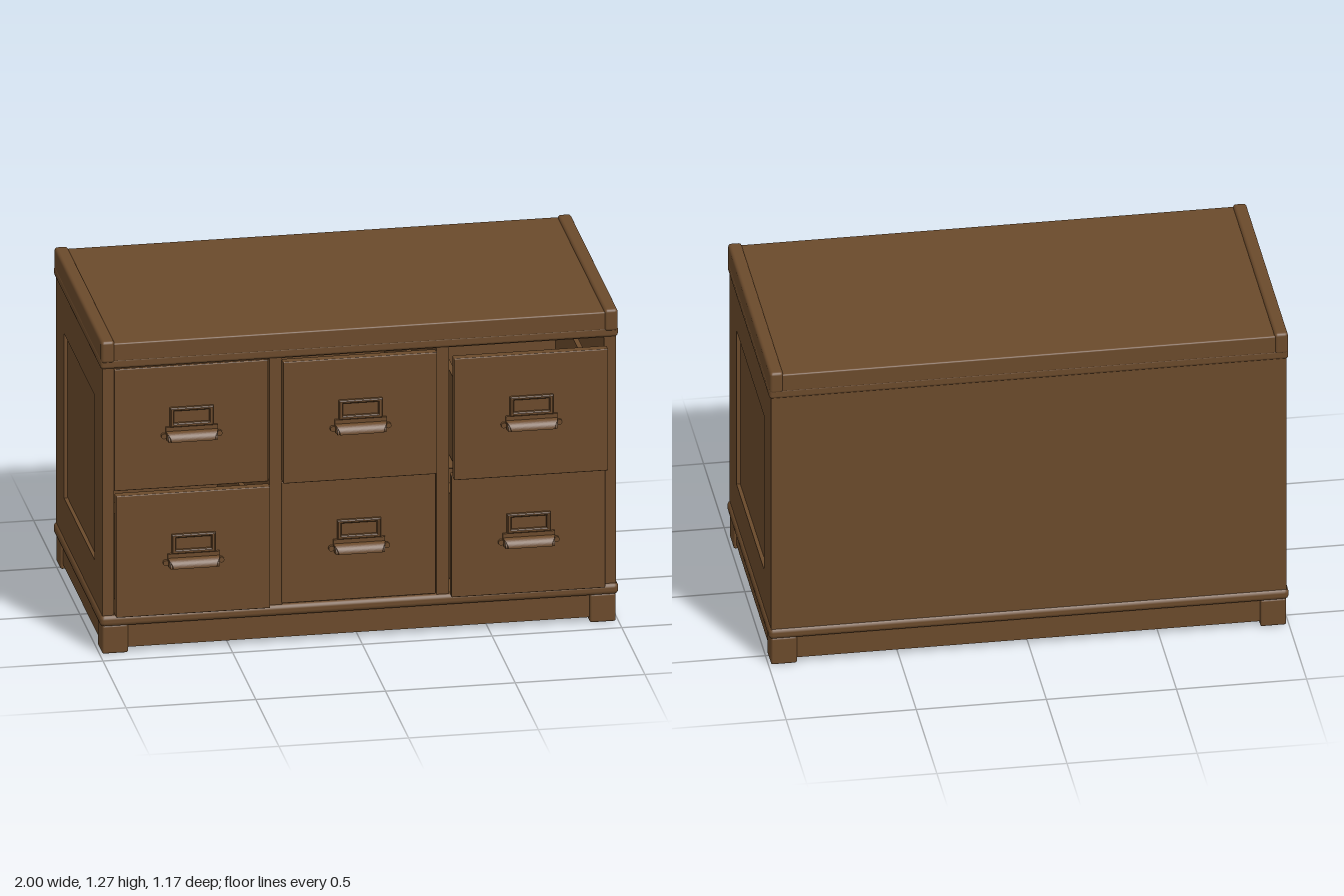
import * as THREE from 'three';
import { RoundedBoxGeometry } from 'three/addons/geometries/RoundedBoxGeometry.js';

const wood = new THREE.MeshStandardMaterial({ color: 0x6b4a2b });
wood.name = 'brown wood';

// Box given by its limits; r rounds the edges
function box(parent, name, x0, x1, y0, y1, z0, z1, r = 0) {
  const w = x1 - x0, h = y1 - y0, d = z1 - z0;
  const geo = r ? new RoundedBoxGeometry(w, h, d, 2, r) : new THREE.BoxGeometry(w, h, d);
  const mesh = new THREE.Mesh(geo, wood);
  mesh.name = name;
  mesh.position.set((x0 + x1) / 2, (y0 + y1) / 2, (z0 + z1) / 2);
  parent.add(mesh);
  return mesh;
}

function rect(Type, x0, x1, y0, y1) {
  const s = new Type();
  s.moveTo(x0, y0);
  s.lineTo(x1, y0);
  s.lineTo(x1, y1);
  s.lineTo(x0, y1);
  s.closePath();
  return s;
}

function frameGeometry(outer, inner, depth, bevel = 0) {
  const shape = rect(THREE.Shape, ...outer);
  shape.holes.push(rect(THREE.Path, ...inner));
  return new THREE.ExtrudeGeometry(shape, {
    depth: depth - bevel, bevelEnabled: bevel > 0, bevelSize: bevel, bevelThickness: bevel,
    bevelOffset: -bevel, bevelSegments: 1,
  });
}

// Curved cup pull: quarter-round profile run along x, narrowing towards the front
function cupGeometry(inner, half) {
  const s = new THREE.Shape();
  const r = 0.034;
  s.moveTo(0, r);
  s.absarc(0, 0, r, Math.PI / 2, 0, true);
  if (inner) {
    s.lineTo(r - 0.007, 0);
    s.absarc(0, 0, r - 0.007, 0, Math.PI / 2, false);
  } else s.lineTo(0, 0);
  s.closePath();
  const geo = new THREE.ExtrudeGeometry(s, { depth: half * 2, bevelEnabled: false, curveSegments: 8 });
  geo.translate(0, 0, -half);
  geo.rotateY(-Math.PI / 2); // profile x becomes z
  return geo;
}

function taper(geo) {
  const p = geo.attributes.position;
  for (let i = 0; i < p.count; i++) {
    const f = Math.max(0, p.getZ(i)) / 0.034;
    p.setX(i, p.getX(i) * (1 - 0.16 * f * f));
  }
  geo.computeVertexNormals();
  return geo;
}

const labelGeo = frameGeometry([-0.084, 0.084, 0.25, 0.328], [-0.068, 0.068, 0.265, 0.315], 0.015, 0.004);
const cupGeo = taper(cupGeometry(true, 0.1));
const capGeo = cupGeometry(false, 0.004);

function drawer(x, y, frontZ, name) {
  const g = new THREE.Group();
  g.name = name;
  const w = 0.297, s = 0.27;
  box(g, 'drawerFront', -w, w, 0, 0.495, -0.038, 0, 0.004);
  for (const k of [-1, 1])
    box(g, 'drawerSide', k * (s - 0.01) - 0.01, k * (s - 0.01) + 0.01, 0.003, 0.35, -0.9, -0.036);
  box(g, 'drawerBottom', -s + 0.02, s - 0.02, 0.004, 0.02, -0.9, -0.036);
  box(g, 'drawerBack', -s + 0.02, s - 0.02, 0.02, 0.35, -0.9, -0.88);

  // Label holder
  const label = new THREE.Mesh(labelGeo, wood);
  label.name = 'labelHolder';
  g.add(label);

  // Cup pull with end walls and mounting ears
  const pull = new THREE.Group();
  pull.name = 'cupPull';
  pull.position.set(0, 0.2, 0.01);
  pull.add(new THREE.Mesh(cupGeo, wood));
  box(pull, 'pullPlate', -0.1, 0.1, 0.006, 0.05, -0.012, 0.001);
  for (const k of [-1, 1]) {
    const cap = new THREE.Mesh(capGeo, wood);
    cap.position.x = k * 0.094;
    cap.rotation.y = -k * 0.1;
    cap.scale.setScalar(0.92);
    pull.add(cap);
    const ear = new THREE.Mesh(new THREE.CylinderGeometry(0.011, 0.011, 0.014, 12), wood);
    ear.name = 'pullEar';
    ear.rotation.x = Math.PI / 2;
    ear.position.set(k * 0.107, 0.015, -0.004);
    pull.add(ear);
  }
  g.add(pull);
  g.position.set(x, y, frontZ);
  return g;
}

export function createModel() {
  const model = new THREE.Group();
  model.name = 'drawerCabinet';

  // Feet and skirt boards
  for (const k of [-1, 1]) {
    for (const z of [-0.525, 0.38])
      box(model, 'foot', k * 0.94 - 0.05, k * 0.94 + 0.05, 0, 0.115, z - 0.05, z + 0.05, 0.008);
    box(model, 'sideSkirt', k * 0.965 - 0.015, k * 0.965 + 0.015, 0.02, 0.115, -0.5, 0.36);
  }
  box(model, 'frontSkirt', -0.91, 0.91, 0.02, 0.115, 0.39, 0.42);
  box(model, 'backSkirt', -0.91, 0.91, 0.02, 0.115, -0.565, -0.535);

  // Base moulding
  for (const [z0, z1] of [[0.37, 0.441], [-0.583, -0.512]])
    box(model, 'baseMoulding', -1, 1, 0.112, 0.158, z0, z1, 0.018);
  for (const k of [-1, 1])
    box(model, 'baseMoulding', k * 0.965 - 0.035, k * 0.965 + 0.035, 0.112, 0.158, -0.583, 0.441, 0.018);

  // Carcass with framed, recessed side panels
  box(model, 'floor', -0.95, 0.95, 0.135, 0.157, -0.56, 0.42);
  box(model, 'back', -0.985, 0.985, 0.15, 1.165, -0.575, -0.55);
  box(model, 'ceiling', -0.95, 0.95, 1.157, 1.18, -0.56, 0.425);
  const sideFrame = frameGeometry([-0.43, 0.575, 0.15, 1.165], [-0.265, 0.4, 0.32, 0.99], 0.015);
  sideFrame.rotateY(Math.PI / 2);
  for (const k of [-1, 1]) {
    const frame = new THREE.Mesh(sideFrame, wood);
    frame.name = 'sideFrame';
    frame.position.x = k > 0 ? 0.975 : -0.99;
    model.add(frame);
    box(model, 'sidePanel', k * 0.96 - 0.0155, k * 0.96 + 0.0155, 0.15, 1.165, -0.575, 0.43);
    box(model, 'divider', k * 0.322 - 0.024, k * 0.322 + 0.024, 0.15, 1.165, -0.55, 0.43);
  }
  box(model, 'shelf', -0.95, 0.95, 0.6555, 0.6595, -0.55, 0.41);

  // Top with lip and rounded end rails
  box(model, 'topLip', -0.998, 0.998, 1.16, 1.202, -0.58, 0.437, 0.012);
  box(model, 'topBoard', -0.95, 0.95, 1.19, 1.264, -0.58, 0.437, 0.006);
  for (const k of [-1, 1])
    box(model, 'topEndRail', k * 0.97 - 0.026, k * 0.97 + 0.026, 1.185, 1.274, -0.582, 0.441, 0.012);

  // Drawers, each pulled out by its own amount: [lower, upper]
  const fronts = [[0.472, 0.431], [0.432, 0.466], [0.483, 0.544]];
  fronts.forEach((rows, c) => rows.forEach((z, r) =>
    model.add(drawer((c - 1) * 0.645 - 0.002, r ? 0.66 : 0.16, z, r ? 'upperDrawer' : 'lowerDrawer'))));

  return model;
}
